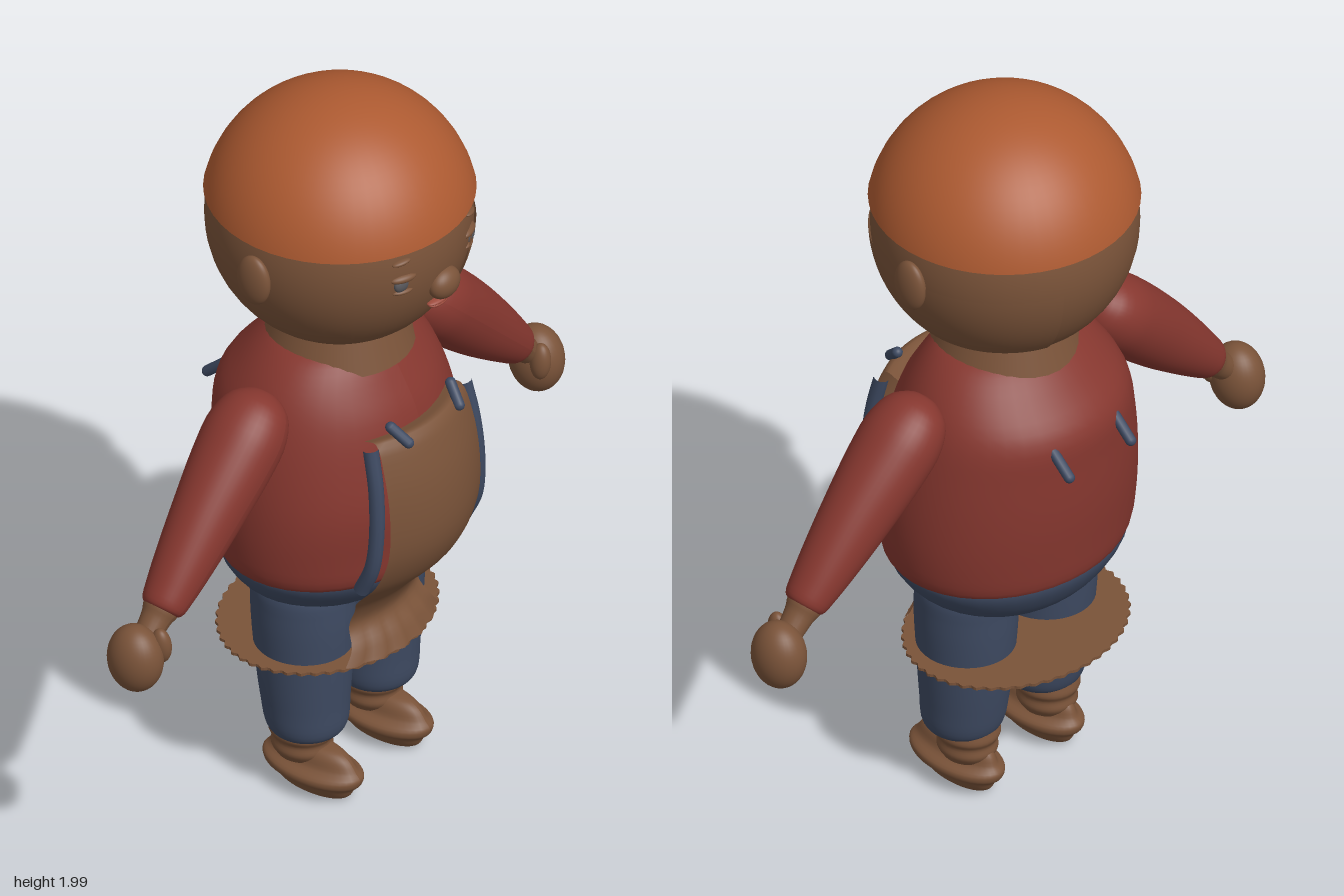
import * as THREE from 'three';

const mat = (name, color, side = THREE.FrontSide) => {
  const m = new THREE.MeshStandardMaterial({ color, side });
  m.name = name;
  return m;
};

// Surface from a grid of points: fn(row, column) gives each vertex
function gridSurface(rows, cols, fn) {
  const pos = [], idx = [];
  for (let i = 0; i <= rows; i++) for (let j = 0; j <= cols; j++) pos.push(...fn(i, j));
  for (let i = 0; i < rows; i++) for (let j = 0; j < cols; j++) {
    const a = i * (cols + 1) + j, b = a + cols + 1;
    idx.push(a, a + 1, b, a + 1, b + 1, b);
  }
  const g = new THREE.BufferGeometry();
  g.setAttribute('position', new THREE.Float32BufferAttribute(pos, 3));
  g.setIndex(idx);
  g.computeVertexNormals();
  return g;
}

// Elliptical cross-sections [y, radius x, radius z, centre z], smoothed, bottom to top
function loft(sections, steps = 32, seg = 40) {
  const y = new THREE.CatmullRomCurve3(sections.map(s => new THREE.Vector3(s[0], s[1], s[2])), false, 'centripetal');
  const c = new THREE.CatmullRomCurve3(sections.map(s => new THREE.Vector3(s[0], s[3] || 0, 0)), false, 'centripetal');
  return gridSurface(steps, seg, (i, j) => {
    const p = y.getPoint(i / steps), cz = c.getPoint(i / steps).y, a = j / seg * Math.PI * 2;
    return [Math.sin(-a) * -Math.max(p.y, 0), p.x, Math.cos(a) * Math.max(p.z, 0) + cz];
  });
}

export function createModel() {
  const root = new THREE.Group();
  root.name = 'cartoonFigure';
  const skin = mat('brown', 0x7a5339);
  const cloth = mat('brown cloth', 0x7a5339, THREE.DoubleSide);
  const red = mat('shirt red', 0x86372f);
  const blue = mat('denim blue', 0x3e4a62);
  const cap = mat('cap orange', 0xad5a31, THREE.DoubleSide);
  const lip = mat('lip red', 0x9c4a3c);
  const eye = mat('eye grey', 0x59585c);

  const add = (name, geo, m, p = [0, 0, 0], s = [1, 1, 1]) => {
    const mesh = new THREE.Mesh(geo, m);
    mesh.name = name;
    mesh.position.set(...p);
    mesh.scale.set(...s);
    root.add(mesh);
    return mesh;
  };
  const ball = new THREE.SphereGeometry(1, 32, 24);
  const blob = (name, m, p, s) => add(name, ball, m, p, s);
  // Part lying along the line between two points
  const along = (name, geo, m, from, to) => {
    const a = new THREE.Vector3(...from), d = new THREE.Vector3(...to).sub(a).normalize();
    const mesh = add(name, geo, m, from);
    mesh.quaternion.setFromUnitVectors(new THREE.Vector3(0, 1, 0), d);
    return mesh;
  };

  // Head, cap and the shell at the back of the head
  add('head', new THREE.SphereGeometry(0.333, 48, 32), skin, [0, 1.655, -0.008]);
  add('cap', new THREE.SphereGeometry(0.345, 48, 20, 0, Math.PI * 2, 0, 1.355), cap, [0, 1.655, -0.006]);
  const shellTop = Math.acos(-0.015 / 0.338), shellEnd = Math.acos(-0.235 / 0.338);
  add('backOfHead', new THREE.SphereGeometry(0.338, 32, 12, 0.35, Math.PI - 0.7, shellTop, shellEnd - shellTop),
    cloth, [0, 1.655, -0.008]).rotation.y = Math.PI / 2;
  add('neck', new THREE.CylinderGeometry(0.16, 0.19, 0.09, 32), skin, [0, 1.32, -0.01]);

  // Face
  blob('nose', skin, [0, 1.578, 0.318], [0.05, 0.042, 0.034]);
  blob('upperLip', lip, [0, 1.524, 0.302], [0.043, 0.008, 0.018]);
  blob('lowerLip', lip, [0, 1.514, 0.3], [0.034, 0.009, 0.017]);
  for (const s of [1, -1]) {
    blob('ear', skin, [s * 0.338, 1.63, -0.012], [0.025, 0.07, 0.049]);
    blob('eye', eye, [s * 0.13, 1.635, 0.288], [0.028, 0.024, 0.014]);
    const lid = blob('upperEyelid', skin, [s * 0.13, 1.652, 0.291], [0.037, 0.012, 0.017]);
    lid.rotation.y = s * 0.4;
    blob('lowerEyelid', skin, [s * 0.13, 1.612, 0.288], [0.03, 0.008, 0.015]).rotation.y = s * 0.4;
    const brow = blob('eyebrow', skin, [s * 0.137, 1.702, 0.291], [0.026, 0.007, 0.012]);
    brow.rotation.set(0, s * 0.4, s * -0.12);
  }

  // Shirt and seat of the trousers
  add('shirt', loft([
    [0.695, 0.3, 0.25, -0.02], [0.72, 0.335, 0.275, -0.015], [0.8, 0.35, 0.285, -0.015],
    [0.92, 0.35, 0.295, -0.015], [1.05, 0.332, 0.285, -0.025], [1.16, 0.303, 0.267, -0.035],
    [1.24, 0.262, 0.215, -0.025], [1.3, 0.205, 0.165, -0.015], [1.325, 0.15, 0.13, -0.01], [1.328, 0, 0, -0.01],
  ]), red);
  add('trouserSeat', loft([
    [0.535, 0, 0, -0.03], [0.545, 0.1, 0.08, -0.03], [0.58, 0.2, 0.165, -0.03],
    [0.64, 0.285, 0.23, -0.025], [0.71, 0.328, 0.268, -0.018], [0.74, 0.32, 0.26, -0.015], [0.745, 0, 0, 0],
  ]), blue);

  // Bib with a tail that runs down to the frill: rows of [y, half width, z]
  const bibRows = [[1.135, 0.165, 0.24], [1.145, 0.17, 0.285], [1.07, 0.177, 0.32], [0.95, 0.18, 0.342],
    [0.82, 0.18, 0.337], [0.72, 0.178, 0.295], [0.64, 0.17, 0.225], [0.585, 0.14, 0.18],
    [0.53, 0.138, 0.16], [0.48, 0.155, 0.19], [0.44, 0.185, 0.21]];
  const bibCurve = new THREE.CatmullRomCurve3(bibRows.map(r => new THREE.Vector3(...r)), false, 'centripetal');
  add('bib', gridSurface(40, 16, (i, j) => {
    const p = bibCurve.getPoint(i / 40), x = (j / 8 - 1) * p.y;
    const ripple = i > 30 ? 0.006 * Math.sin(j * 2) * (i - 30) / 10 : 0;
    return [x, p.x, p.z - 1.6 * x * x + ripple];
  }), cloth);

  // Blue edging beside the bib, and the shoulder straps
  const edging = new THREE.CatmullRomCurve3([[0.187, 1.14, 0.235], [0.195, 1.03, 0.258],
    [0.203, 0.9, 0.266], [0.207, 0.8, 0.255], [0.205, 0.72, 0.22]].map(p => new THREE.Vector3(...p)));
  const strap = len => new THREE.CapsuleGeometry(0.014, len, 6, 12).translate(0, len / 2, 0);
  for (const s of [1, -1]) {
    const edge = add('bibEdging', new THREE.TubeGeometry(edging, 24, 0.02, 10), blue);
    edge.scale.x = s;
    edge.material = s > 0 ? blue : mirroredBlue();
    along('frontStrap', strap(0.06), blue, [s * 0.102, 1.135, 0.287], [s * 0.125, 1.185, 0.235]);
    along('backStrap', strap(0.15), blue, [s * 0.108, 1.085, -0.335], [s * 0.108, 1.19, -0.22]);
  }
  // Mirrored parts keep the same colour; negative scale is handled by the renderer
  function mirroredBlue() { return blue; }

  // Frill: thin disc with a scalloped rim
  const rim = new THREE.Shape();
  for (let i = 0; i <= 240; i++) {
    const a = i / 240 * Math.PI * 2, r = 1 + 0.014 * Math.cos(a * 48);
    rim[i ? 'lineTo' : 'moveTo'](Math.cos(a) * 0.307 * r, Math.sin(a) * 0.25 * r);
  }
  add('frill', new THREE.ExtrudeGeometry(rim, { depth: 0.008, bevelEnabled: false }), cloth,
    [0, 0.433, -0.045]).rotation.x = -Math.PI / 2;

  // Limbs
  const sleeve = loft([[-0.055, 0, 0], [-0.05, 0.03, 0.035], [-0.015, 0.074, 0.083], [0.05, 0.097, 0.105],
    [0.14, 0.1, 0.104], [0.28, 0.092, 0.09], [0.4, 0.077, 0.077], [0.49, 0.062, 0.065],
    [0.535, 0.052, 0.055], [0.545, 0.04, 0.04], [0.545, 0, 0]]);
  const wrist = loft([[0, 0.045, 0.045], [0.03, 0.046, 0.047], [0.055, 0.038, 0.04], [0.1, 0.034, 0.035]], 10, 24);
  const leg = loft([[0.175, 0, 0, 0], [0.178, 0.08, 0.08, 0], [0.2, 0.102, 0.1, 0], [0.28, 0.112, 0.112, -0.005],
    [0.42, 0.122, 0.125, -0.01], [0.56, 0.128, 0.132, -0.012], [0.64, 0.12, 0.125, -0.015], [0.69, 0, 0, -0.015]]);
  const ankle = loft([[0.1, 0.06, 0.065], [0.125, 0.073, 0.08], [0.15, 0.07, 0.077],
    [0.17, 0.08, 0.086], [0.195, 0.076, 0.082]], 16, 32);
  const shoe = loft([[0.008, 0, 0, 0.02], [0.009, 0.035, 0.09, 0.02], [0.022, 0.042, 0.112, 0.02],
    [0.045, 0.055, 0.125, 0.02], [0.062, 0.078, 0.142, 0.02], [0.08, 0.078, 0.146, 0.02],
    [0.098, 0.052, 0.132, 0.02], [0.125, 0.042, 0.115, 0.015], [0.14, 0.03, 0.09, 0.01], [0.143, 0, 0, 0.01]]);
  for (const s of [1, -1]) {
    along('sleeve', sleeve, red, [s * 0.325, 1.225, -0.015], [s * 0.72, 0.84, -0.01]);
    along('wrist', wrist, skin, [s * 0.69, 0.868, -0.012], [s * 0.8, 0.76, -0.015]);
    blob('hand', skin, [s * 0.806, 0.75, -0.018], [0.065, 0.092, 0.074]);
    blob('thumb', skin, [s * 0.762, 0.782, 0.028], [0.024, 0.05, 0.028]).rotation.z = s * -0.1;
    add('trouserLeg', leg, blue, [s * 0.14, 0, 0]);
    add('ankle', ankle, skin, [s * 0.14, 0, -0.015]);
    add('shoe', shoe, skin, [s * 0.14, 0, 0]);
  }
  return root;
}
